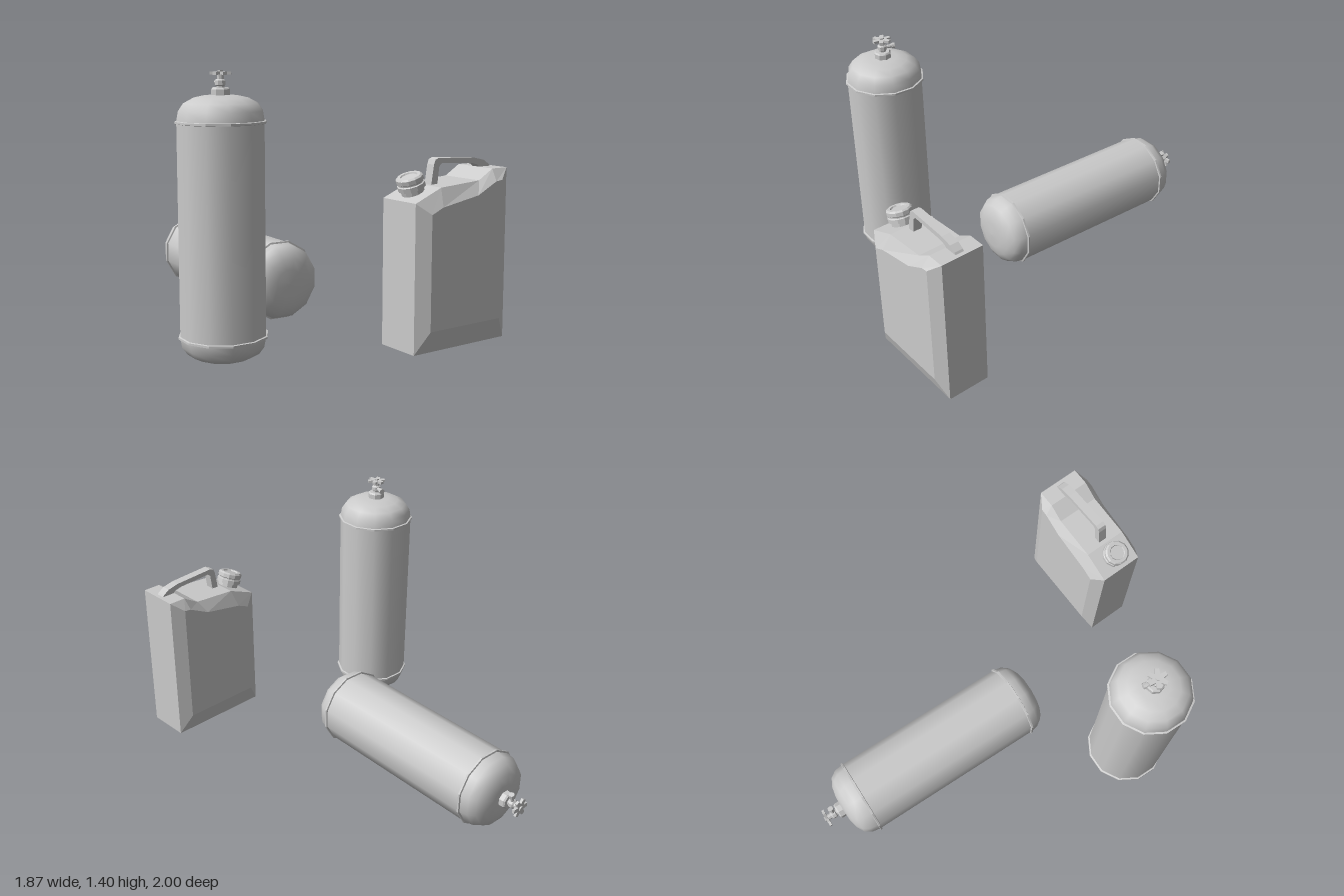
import * as THREE from 'three';

const mat = new THREE.MeshStandardMaterial({ color: 0xcccccc });
const flatMat = new THREE.MeshStandardMaterial({ color: 0xcccccc, flatShading: true });

function add(parent, name, geometry, material = flatMat, pos = [0, 0, 0]) {
  const mesh = new THREE.Mesh(geometry, material);
  mesh.name = name;
  mesh.position.set(...pos);
  parent.add(mesh);
  return mesh;
}

const v2 = (list) => list.map(([x, y]) => new THREE.Vector2(x, y));
const lathe = (list, sides = 12) => new THREE.LatheGeometry(v2(list), sides, Math.PI / sides);

function extrude(points, depth, bevel = 0) {
  return new THREE.ExtrudeGeometry(new THREE.Shape(v2(points)), {
    depth, bevelEnabled: bevel > 0, bevelSize: bevel, bevelThickness: bevel, bevelSegments: 1,
  }).translate(0, 0, -depth / 2);
}

// Gas cylinder standing on its base, valve at the top
function gasCylinder(name) {
  const g = new THREE.Group();
  g.name = name;

  // Tank with domed ends
  add(g, 'tank', lathe([
    [0, 0], [0.08, 0.003], [0.135, 0.014], [0.18, 0.037], [0.205, 0.072], [0.213, 0.115], [0.213, 0.13],
    [0.213, 1.15], [0.213, 1.165], [0.205, 1.213], [0.18, 1.25], [0.135, 1.274], [0.08, 1.286], [0, 1.29],
  ]), mat);

  // Weld bands
  for (const y of [0.12, 1.16]) {
    add(g, 'weldBand', lathe([[0.21, -0.008], [0.222, -0.005], [0.222, 0.005], [0.21, 0.008]]), flatMat, [0, y, 0]);
  }

  // Valve collar, body and stem
  add(g, 'valveCollar', lathe([[0.047, 1.28], [0.047, 1.315], [0.04, 1.323], [0, 1.323]], 8));
  add(g, 'valveStem', lathe([
    [0.02, 1.32], [0.02, 1.33], [0.026, 1.335], [0.026, 1.355], [0.017, 1.362], [0.017, 1.39],
  ], 8));

  // Side outlet with a nut at its end
  const outlet = new THREE.Group();
  outlet.name = 'outlet';
  outlet.position.y = 1.345;
  outlet.rotation.y = 0.28;
  g.add(outlet);
  const tube = (r, len) => new THREE.CylinderGeometry(r, r, len, 8).rotateX(Math.PI / 2);
  add(outlet, 'outletPipe', tube(0.01, 0.06), flatMat, [0, 0, -0.035]);
  add(outlet, 'outletNut', tube(0.016, 0.018), flatMat, [0, 0, -0.062]);

  // Lobed hand wheel
  const star = [];
  for (let i = 0; i < 6; i++) {
    const a = (i * Math.PI) / 3;
    for (const [da, r] of [[-0.2, 0.052], [0.2, 0.052], [Math.PI / 6, 0.026]]) {
      star.push([r * Math.cos(a + da), r * Math.sin(a + da)]);
    }
  }
  add(g, 'handWheel', extrude(star, 0.014).rotateX(-Math.PI / 2), flatMat, [0, 1.39, 0]);
  add(g, 'wheelNut', new THREE.CylinderGeometry(0.014, 0.014, 0.01, 6), flatMat, [0, 1.399, 0]);
  return g;
}

// Solid skinned over matching outlines placed at successive depths
function loft(rings) {
  const n = rings[0].points.length;
  const pos = rings.flatMap(({ points, z }) => points.flatMap(([x, y]) => [x, y, z]));
  const index = [];
  for (let k = 0; k < rings.length - 1; k++) {
    for (let i = 0; i < n; i++) {
      const a = k * n + i, b = k * n + ((i + 1) % n);
      index.push(a, b, b + n, a, b + n, a + n);
    }
  }
  const last = (rings.length - 1) * n;
  for (const [a, b, c] of THREE.ShapeUtils.triangulateShape(v2(rings[0].points), [])) {
    index.push(c, b, a, a + last, b + last, c + last);
  }
  const geo = new THREE.BufferGeometry();
  geo.setAttribute('position', new THREE.Float32BufferAttribute(pos, 3));
  geo.setIndex(index);
  const flat = geo.toNonIndexed();
  flat.computeVertexNormals();
  return flat;
}

function fuelCan() {
  const g = new THREE.Group();
  g.name = 'fuelCan';

  // Body with raised, bevelled side panels
  const rim = [[-0.3, 0.03], [0.3, 0.03], [0.3, 0.91], [0.2, 0.91], [0.11, 0.857], [-0.14, 0.84], [-0.3, 0.775]];
  const panel = [[-0.23, 0.145], [0.23, 0.145], [0.23, 0.855], [0.19, 0.85], [0.07, 0.79], [-0.16, 0.75], [-0.23, 0.72]];
  add(g, 'canBody', loft([
    { points: panel, z: -0.163 }, { points: rim, z: -0.122 },
    { points: rim, z: 0.122 }, { points: panel, z: 0.163 },
  ]));

  // Carrying handle
  add(g, 'handle', extrude([
    [-0.12, 0.83], [-0.08, 0.83], [-0.067, 0.93], [-0.05, 0.944], [0.15, 0.932], [0.19, 0.922], [0.215, 0.9],
    [0.285, 0.9], [0.27, 0.92], [0.235, 0.943], [0.17, 0.958], [-0.07, 0.972], [-0.092, 0.964], [-0.102, 0.94],
  ], 0.05));

  // Tilted filler neck and screw cap
  const neck = add(g, 'fillerNeck', lathe([[0.058, -0.03], [0.058, 0.03]]), flatMat, [-0.213, 0.808, 0]);
  neck.rotation.z = 0.33;
  add(neck, 'fillerCap', lathe([
    [0.05, 0.025], [0.07, 0.025], [0.07, 0.048], [0.064, 0.052], [0.064, 0.058], [0.069, 0.062],
    [0.069, 0.083], [0.06, 0.091], [0.044, 0.091], [0.04, 0.084], [0, 0.084],
  ]));
  return g;
}

export function createModel() {
  const model = new THREE.Group();
  model.name = 'gasCylindersAndFuelCan';

  const standing = gasCylinder('standingCylinder');
  standing.position.set(-0.49, 0, 0.785);

  // Second cylinder lies on its side with the outlet facing up
  const lying = gasCylinder('lyingCylinder');
  lying.rotation.set(-Math.PI / 2, Math.PI / 6, Math.PI, 'YXZ');
  lying.quaternion.setFromEuler(new THREE.Euler(-Math.PI / 2, Math.PI / 6, 0, 'YXZ'))
    .multiply(new THREE.Quaternion().setFromAxisAngle(new THREE.Vector3(0, 1, 0), Math.PI));
  lying.position.set(-0.16, 0.24, 0.23);

  const can = fuelCan();
  can.position.set(0.615, 0, 0.607);
  can.rotation.y = 0.58;

  model.add(standing, lying, can);
  return model;
}
